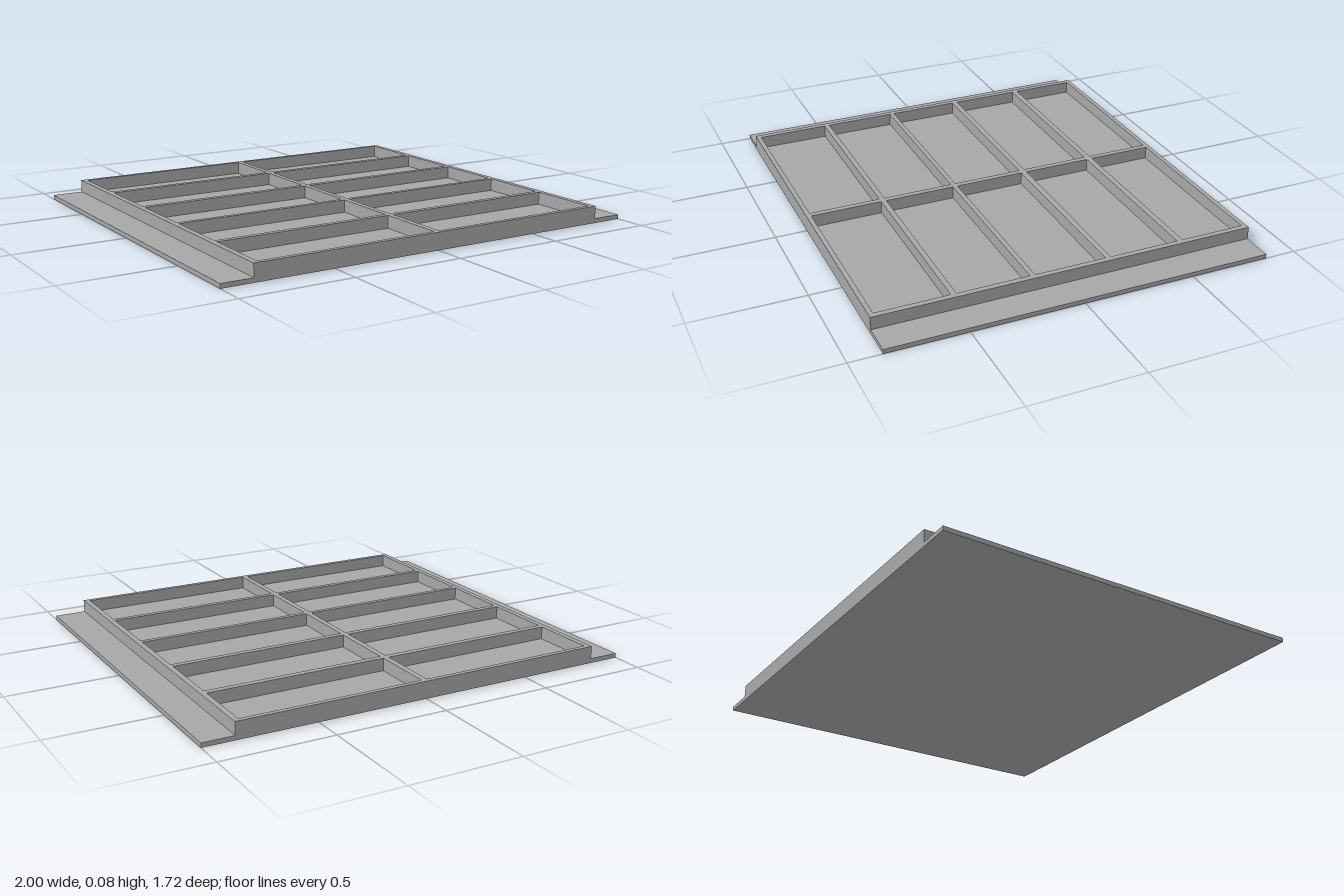
import * as THREE from 'three';

const BASE_H = 0.02, TOP = 0.077, HALF_Z = 0.858, FRAME_X = 0.859;

// Closed rectangle path; y runs towards the back
function rect(Type, x0, x1, z0, z1) {
  const p = new Type();
  p.moveTo(x0, -z1);
  p.lineTo(x1, -z1);
  p.lineTo(x1, -z0);
  p.lineTo(x0, -z0);
  p.closePath();
  return p;
}

export function createModel() {
  const group = new THREE.Group();
  const grey = new THREE.MeshStandardMaterial({ color: 0xa6a6a6 });
  grey.name = 'grey';

  // Wide flat plate with a flange on both sides
  const base = new THREE.Mesh(new THREE.BoxGeometry(2, BASE_H, HALF_Z * 2), grey);
  base.name = 'basePlate';
  base.position.y = BASE_H / 2;
  group.add(base);

  // Raised frame with two columns of five pockets
  const outline = rect(THREE.Shape, -FRAME_X, FRAME_X, -HALF_Z, HALF_Z);
  const rows = [[-0.837, -0.543], [-0.516, -0.2], [-0.174, 0.147], [0.169, 0.49], [0.514, 0.837]];
  for (const [z0, z1] of rows) {
    outline.holes.push(rect(THREE.Path, -0.834, -0.013, z0, z1));
    outline.holes.push(rect(THREE.Path, 0.013, 0.834, z0, z1));
  }
  const geo = new THREE.ExtrudeGeometry(outline, { depth: TOP - BASE_H, bevelEnabled: false });
  geo.rotateX(-Math.PI / 2);
  const frame = new THREE.Mesh(geo, grey);
  frame.name = 'pocketFrame';
  frame.position.y = BASE_H;
  group.add(frame);

  return group;
}
